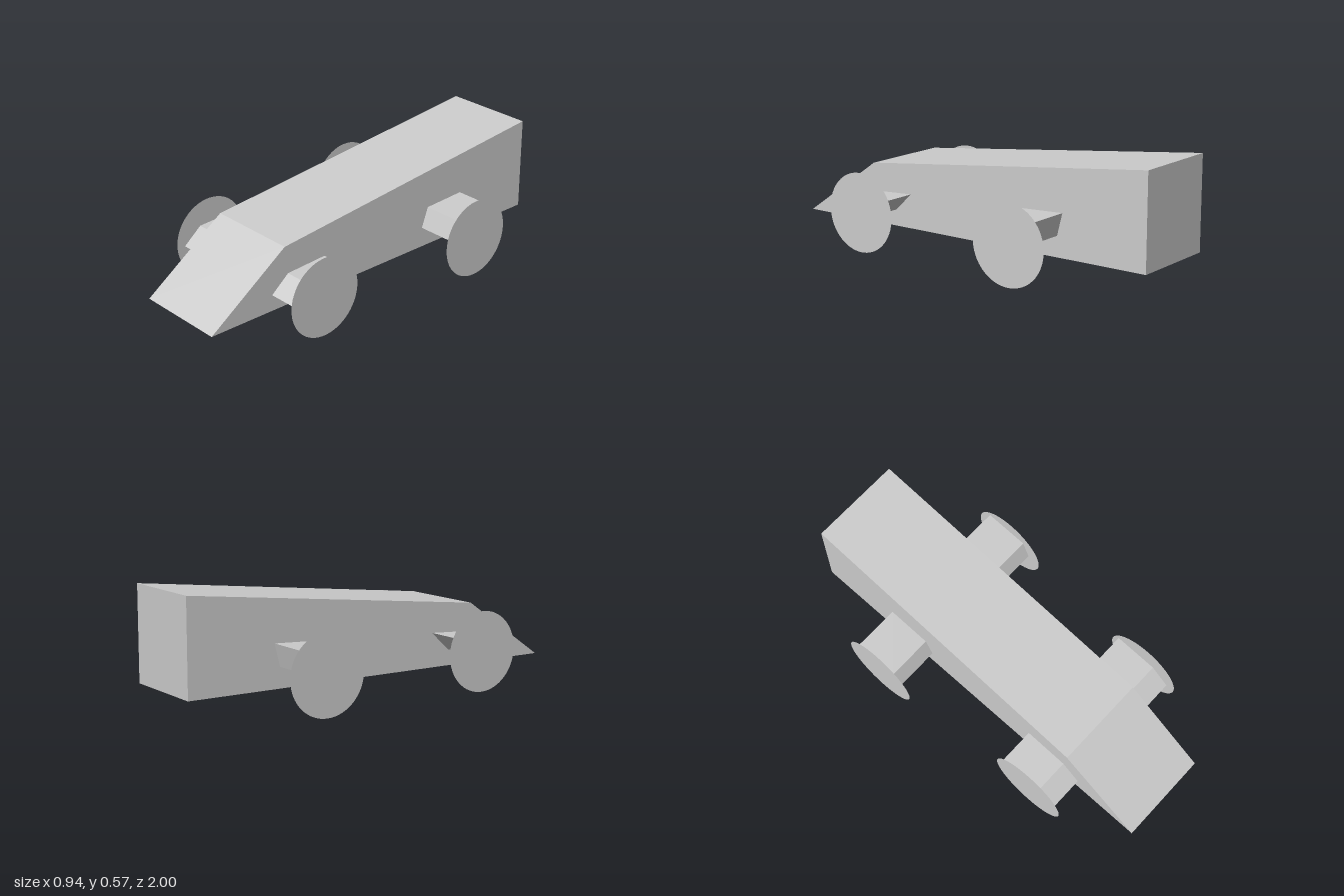
import * as THREE from 'three';

const grey = new THREE.MeshStandardMaterial({ color: 0xcccccc, flatShading: true });
const thin = new THREE.MeshStandardMaterial({ color: 0xcccccc, side: THREE.DoubleSide });

// Extrude a side profile of [z, y] points across the width from x0 to x1
function sideExtrude(name, points, x0, x1) {
  const shape = new THREE.Shape(points.map(([z, y]) => new THREE.Vector2(-z, y)));
  const geometry = new THREE.ExtrudeGeometry(shape, { depth: x1 - x0, bevelEnabled: false });
  geometry.rotateY(Math.PI / 2).translate(x0, 0, 0);
  const mesh = new THREE.Mesh(geometry, grey);
  mesh.name = name;
  return mesh;
}

export function createModel() {
  const model = new THREE.Group();
  model.name = 'wedgeCar';
  const cx = -0.002;
  const halfBody = 0.233;
  const wheelRadius = 0.197;

  // Wedge body with a sloping nose
  const bodyProfile = [[1, 0.107], [0.575, 0.404], [-1, 0.573], [-1, 0.107]];
  model.add(sideExtrude('body', bodyProfile, -halfBody, halfBody));

  // Axle stubs and flat disc wheels, mirrored left and right
  const axles = [
    { name: 'front', z: 0.5, reach: 0.418,
      profile: [[0.338, 0.277], [0.558, 0.265], [0.653, 0.187], [0.435, 0.187]] },
    { name: 'rear', z: -0.424, reach: 0.467,
      profile: [[-0.555, 0.318], [-0.332, 0.308], [-0.295, 0.208], [-0.527, 0.208]] },
  ];
  for (const { name, z, reach, profile } of axles) {
    for (const [label, side] of [['Left', 1], ['Right', -1]]) {
      const ends = [side * halfBody, side * reach].sort((a, b) => a - b);
      model.add(sideExtrude(`${name}${label}Axle`, profile, ...ends));

      const wheel = new THREE.Mesh(new THREE.CircleGeometry(wheelRadius, 64), thin);
      wheel.name = `${name}${label}Wheel`;
      wheel.rotation.y = side * Math.PI / 2;
      wheel.position.set(side * (reach + 0.0005), wheelRadius, z);
      model.add(wheel);
    }
  }

  for (const part of model.children) part.position.x += cx;
  return model;
}
